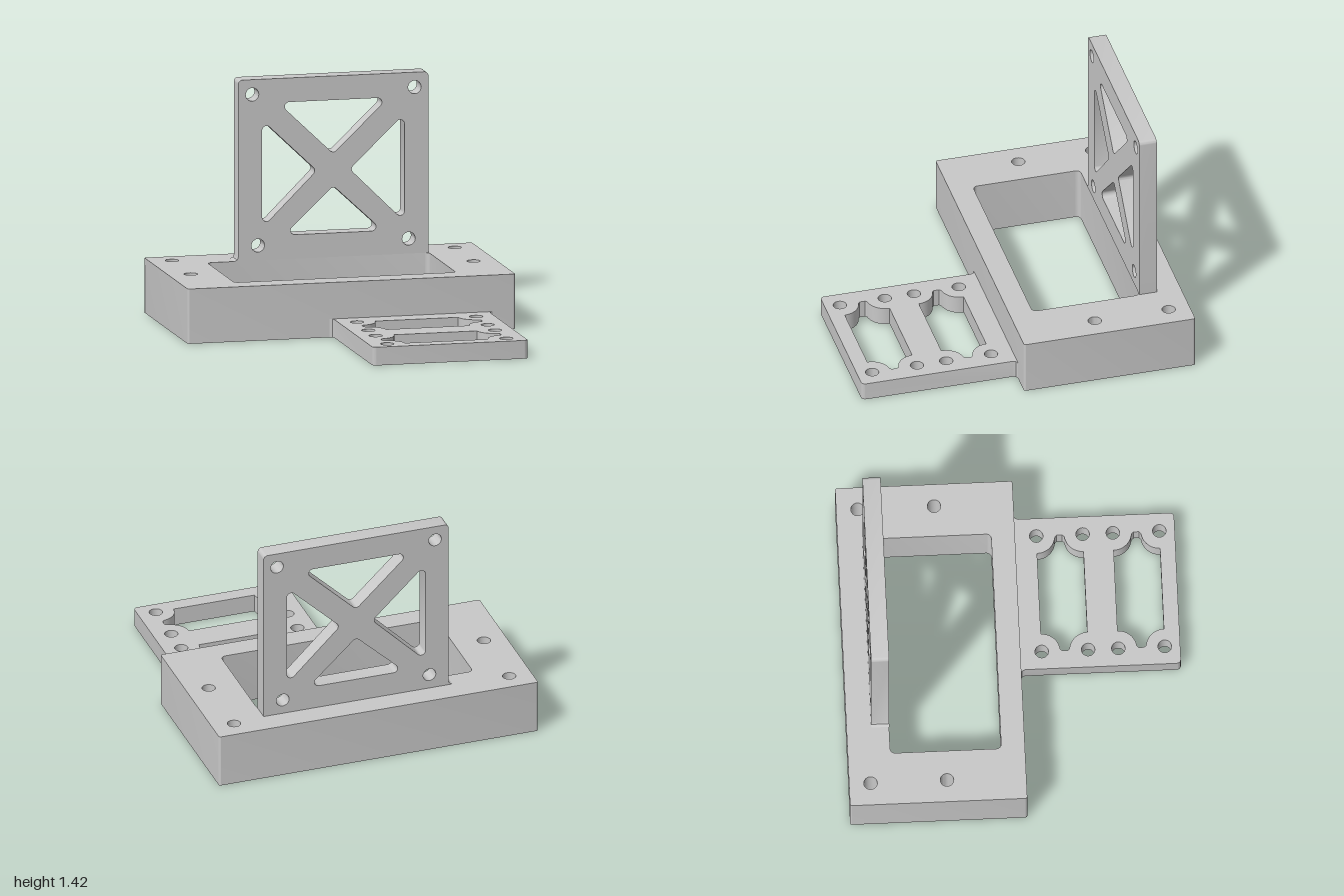
import * as THREE from 'three';
import { toCreasedNormals } from 'three/addons/utils/BufferGeometryUtils.js';

// Closed outline; each point is [x, y, radius], radius 0 or absent keeps it sharp
function outline(points, PathType = THREE.Path) {
  const n = points.length;
  const out = [];
  points.forEach(([x, y, r = 0], i) => {
    const c = new THREE.Vector2(x, y);
    if (r === 0) {
      out.push(c);
      return;
    }
    const prev = points[(i + n - 1) % n], next = points[(i + 1) % n];
    const a = new THREE.Vector2(prev[0], prev[1]).sub(c).normalize();
    const b = new THREE.Vector2(next[0], next[1]).sub(c).normalize();
    const half = Math.acos(a.dot(b)) / 2;
    const mid = a.clone().add(b).normalize().multiplyScalar(r / Math.sin(half)).add(c);
    const start = c.clone().addScaledVector(a, r / Math.tan(half)).sub(mid);
    const sweep = (Math.PI - 2 * half) * (a.cross(b) > 0 ? -1 : 1);
    for (let k = 0; k <= 8; k++) {
      const t = start.angle() + (sweep * k) / 8;
      out.push(new THREE.Vector2(mid.x + r * Math.cos(t), mid.y + r * Math.sin(t)));
    }
  });
  return new PathType(out);
}

const rect = (x0, y0, x1, y1, r, PathType) =>
  outline([[x0, y0, r], [x1, y0, r], [x1, y1, r], [x0, y1, r]], PathType);

function screwHole(x, y) {
  const hole = new THREE.Path();
  hole.absarc(x, y, 0.04, 0, Math.PI * 2, false);
  return hole;
}

// Servo slot: one quarter curves around a screw hole, mirrored four ways
function servoSlot(cx, cy) {
  const hx = 0.364, hy = 0.1375, quarter = [];
  for (let i = 0; i <= 8; i++) {
    const t = Math.PI + (i / 8) * 1.31;
    quarter.push([hx + 0.11 * Math.cos(t), hy + 0.11 * Math.sin(t)]);
  }
  quarter.push([hx - 0.01, 0.027], [hx, 0.016]);
  const flipped = quarter.slice().reverse();
  const points = [
    ...quarter,
    ...flipped.map(([x, y]) => [x, -y]),
    ...quarter.map(([x, y]) => [-x, -y]),
    ...flipped.map(([x, y]) => [-x, y]),
  ];
  return outline(points.map(([x, y]) => [cx + x, cy + y]));
}

function extrude(shape, depth) {
  return new THREE.ExtrudeGeometry(shape, { depth, bevelEnabled: false, curveSegments: 12 });
}

export function createModel() {
  const model = new THREE.Group();
  model.name = 'servoBracket';
  const grey = new THREE.MeshStandardMaterial({ color: 0xc8c8c8 });
  grey.name = 'lightGrey';

  function add(name, geometry) {
    const mesh = new THREE.Mesh(toCreasedNormals(geometry, 0.6), grey);
    mesh.name = name;
    model.add(mesh);
  }

  // Thick base frame, drawn flat with shape y = -z
  const base = rect(-1, -0.05, 1, 1, 0.012, THREE.Shape);
  base.holes.push(rect(-0.68, 0.09, 0.673, 0.748, 0.03));
  for (const x of [-0.863, 0.863])
    for (const y of [0.873, 0.42]) base.holes.push(screwHole(x, y));
  add('baseFrame', extrude(base, 0.33).rotateX(-Math.PI / 2));

  // Thin front tray with flared root, screw holes and two servo slots
  const tray = outline([
    [-0.136, -0.05], [-0.118, -0.058], [-0.11, -0.076], [-0.11, -1, 0.025],
    [0.838, -1, 0.025], [0.838, -0.076], [0.846, -0.058], [0.864, -0.05],
  ], THREE.Shape);
  for (const z of [0.317, 0.771]) {
    tray.holes.push(servoSlot(0.364, -z));
    for (const x of [0, 0.728])
      for (const dz of [-0.1375, 0.1375]) tray.holes.push(screwHole(x, -z - dz));
  }
  add('frontTray', extrude(tray, 0.11).rotateX(-Math.PI / 2));

  // Upright plate with four triangular windows forming an X brace
  const plate = outline([
    [0.67, 0.33], [0.67, 1.42, 0.025], [-0.49, 1.42, 0.025],
    [-0.49, 0.354], [-0.497, 0.338], [-0.514, 0.33],
  ], THREE.Shape);
  const windows = [
    [[-0.247, 1.275], [0.427, 1.275], [0.09, 0.952]],
    [[-0.212, 0.475], [0.392, 0.475], [0.09, 0.758]],
    [[-0.345, 1.174], [-0.345, 0.524], [-0.012, 0.855]],
    [[0.525, 1.174], [0.525, 0.524], [0.19, 0.855]],
  ];
  for (const w of windows) plate.holes.push(outline(w.map(([x, y]) => [x, y, 0.027])));
  for (const [x, y] of [[-0.405, 1.33], [0.586, 1.33], [-0.37, 0.42], [0.55, 0.42]])
    plate.holes.push(screwHole(x, y));
  add('uprightPlate', extrude(plate, 0.107).translate(0, 0, -0.853));

  return model;
}
